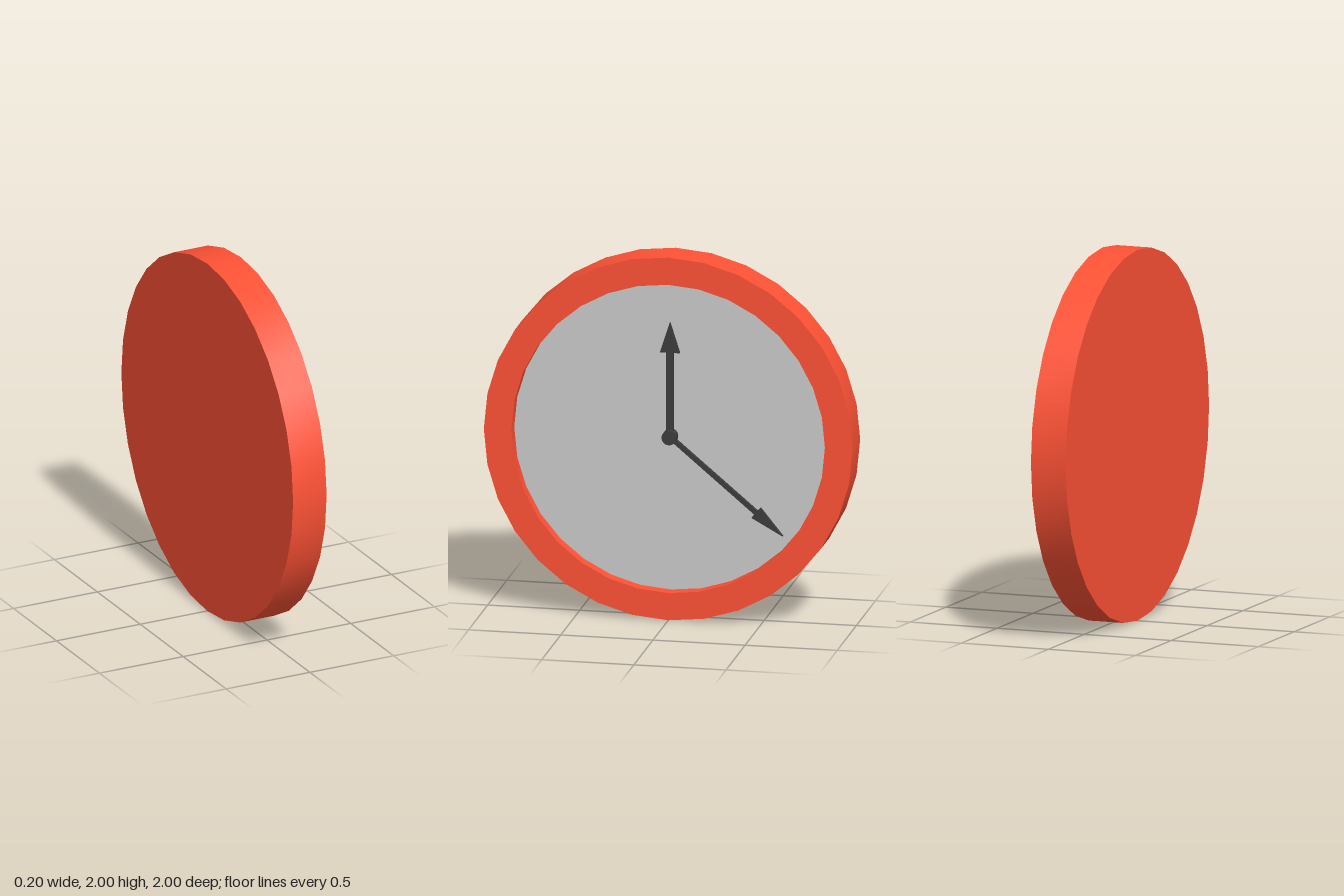
import * as THREE from 'three';
import { toCreasedNormals } from 'three/addons/utils/BufferGeometryUtils.js';

const RED = 0xff5235, DARK = 0x3c3c3c, GREY = 0xcccccc;
const SIDES = 32, FLOOR = 0.027;

function addPart(parent, name, geometry, color) {
  const mesh = new THREE.Mesh(geometry, new THREE.MeshStandardMaterial({ color }));
  mesh.name = name;
  parent.add(mesh);
  return mesh;
}

// Flat arrow pointing up from the origin, extruded along z
function arrow(length, headLength, shaftHalf, headHalf, depth) {
  const neck = length - headLength;
  const right = [[shaftHalf, 0], [shaftHalf, neck], [headHalf, neck]];
  const left = right.map(([x, y]) => [-x, y]).reverse();
  const outline = [...right, [0, length], ...left].map(([x, y]) => new THREE.Vector2(x, y));
  return new THREE.ExtrudeGeometry(new THREE.Shape(outline), { depth, bevelEnabled: false });
}

export function createModel() {
  const model = new THREE.Group();
  model.name = 'wallClock';

  // Built facing +z, then turned to face +x
  const clock = new THREE.Group();
  clock.name = 'clock';
  clock.rotation.y = Math.PI / 2;
  clock.position.y = 1;
  model.add(clock);

  // Case: closed back, outer wall, front rim and recess wall
  const profile = [[0, -0.1], [1, -0.1], [1, 0.1], [0.85, 0.1], [0.85, FLOOR]]
    .map(([r, y]) => new THREE.Vector2(r, y));
  const body = toCreasedNormals(new THREE.LatheGeometry(profile, SIDES), 0.6);
  addPart(clock, 'case', body.rotateX(Math.PI / 2), RED);

  // Recessed dial
  addPart(clock, 'dial', new THREE.CircleGeometry(0.85, SIDES), GREY).position.z = FLOOR;

  // Hands
  const hourHand = addPart(clock, 'hourHand', arrow(0.63, 0.165, 0.019, 0.053, 0.022), DARK);
  hourHand.position.z = 0.042;
  const minuteHand = addPart(clock, 'minuteHand', arrow(0.8, 0.19, 0.0125, 0.037, 0.022), DARK);
  minuteHand.position.z = 0.042;
  minuteHand.rotation.z = -THREE.MathUtils.degToRad(130);

  // Centre pin
  const pin = new THREE.CylinderGeometry(0.04, 0.04, 0.058, 16).rotateX(Math.PI / 2);
  addPart(clock, 'centrePin', pin, DARK).position.z = FLOOR + 0.029;

  return model;
}
